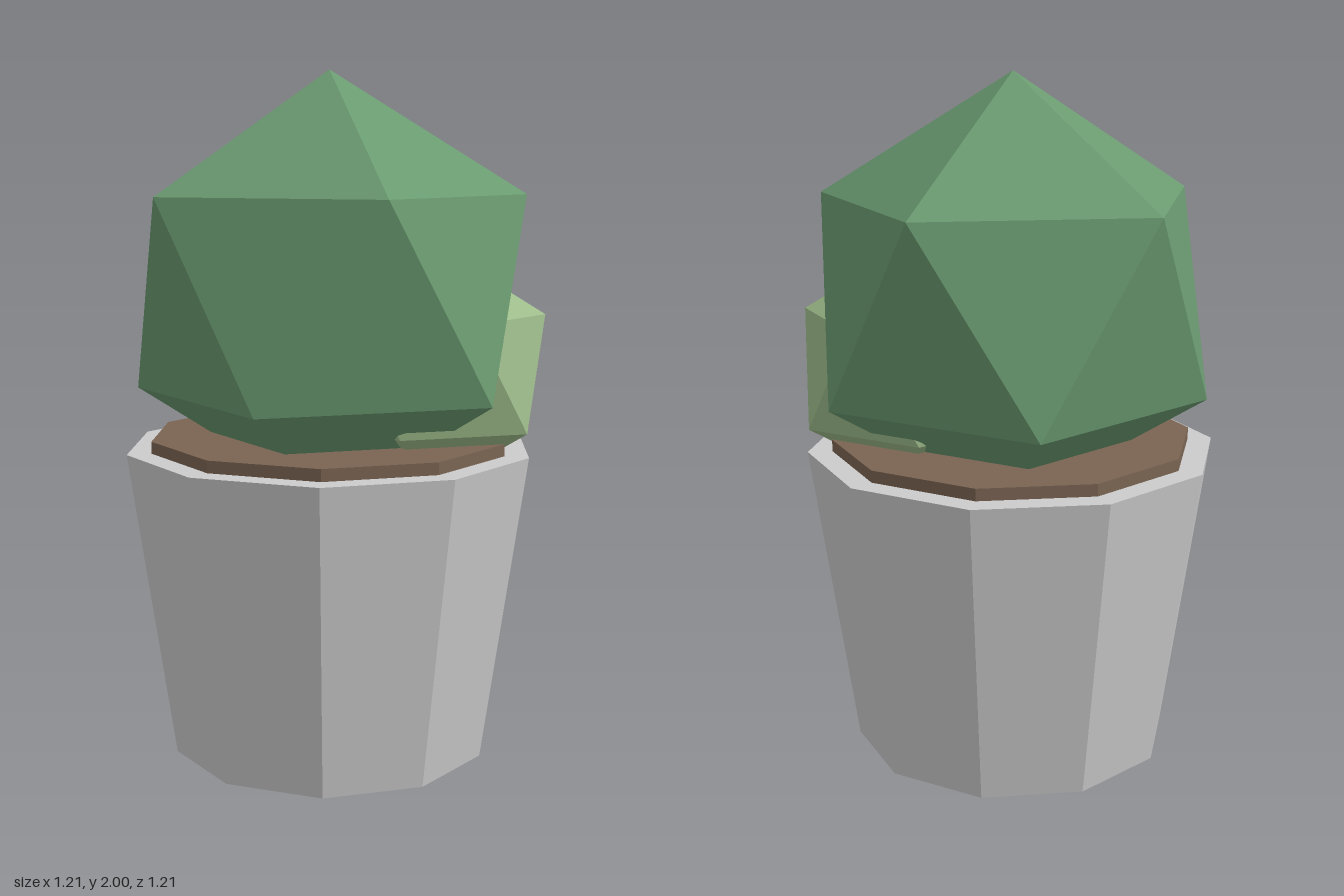
import * as THREE from 'three';

const material = (color) => new THREE.MeshStandardMaterial({ color, flatShading: true });

function addPart(group, name, geometry, color, x, y) {
  const mesh = new THREE.Mesh(geometry, material(color));
  mesh.name = name;
  mesh.position.set(x, y, 0);
  group.add(mesh);
}

// Icosahedron standing on a vertex, with an upper-ring corner toward +x
function uprightIcosahedron(radius) {
  const golden = (1 + Math.sqrt(5)) / 2;
  return new THREE.IcosahedronGeometry(radius, 0).rotateZ(-Math.atan(1 / golden));
}

export function createModel() {
  const group = new THREE.Group();
  group.name = 'pottedCactus';
  const axisX = -0.028;

  // Tapered ten-sided pot, with soil rising slightly above its rim
  addPart(group, 'pot', new THREE.CylinderGeometry(0.605, 0.473, 0.91, 10), 0xcccccc, axisX, 0.455);
  addPart(group, 'soil', new THREE.CylinderGeometry(0.533, 0.533, 0.07, 10), 0x7a6452, axisX, 0.91);

  // Main cactus body and the small offshoot on its side
  addPart(group, 'cactusBody', uprightIcosahedron(0.637), 0x6a9a70, axisX, 1.363);
  addPart(group, 'cactusOffshoot', uprightIcosahedron(0.36), 0x9dbb8a, 0.28, 1.14);

  return group;
}
